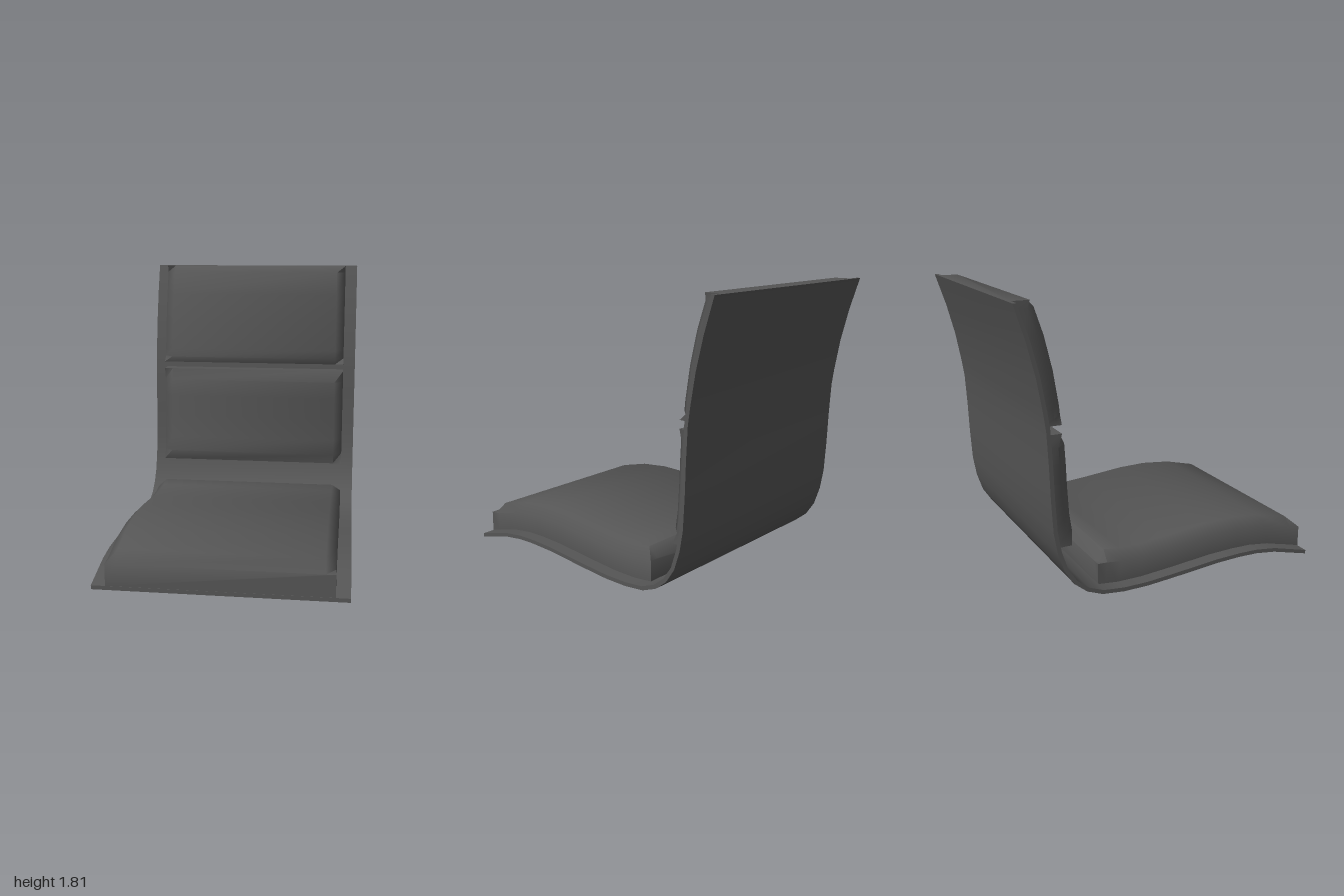
import * as THREE from 'three';
import { toCreasedNormals } from 'three/addons/utils/BufferGeometryUtils.js';

const material = new THREE.MeshStandardMaterial({ color: 0x555555 });

// Underside of the bent shell, as [z, y] from the front edge to the top edge
const SHELL = [
  [1, 0], [0.74, 0.067], [0.6, 0.085], [0.47, 0.088], [0.3, 0.082], [0, 0.055], [-0.2, 0.04],
  [-0.36, 0.04], [-0.5, 0.055], [-0.6, 0.095], [-0.68, 0.16], [-0.74, 0.25], [-0.78, 0.37],
  [-0.803, 0.5], [-0.815, 0.7], [-0.822, 0.9], [-0.833, 1.1], [-0.847, 1.2], [-0.883, 1.4],
  [-0.934, 1.6], [-1, 1.806],
];

// Seat and back in one sheet: the profile is thickened, then extruded across the width
function makeShell(width, thickness) {
  const outer = SHELL.map(([z, y]) => new THREE.Vector2(z, y));
  const inner = outer.map((p, i) => {
    const t = outer[Math.min(i + 1, outer.length - 1)].clone().sub(outer[Math.max(i - 1, 0)]).normalize();
    return new THREE.Vector2(p.x + t.y * thickness, p.y - t.x * thickness);
  });
  inner[0].x = 1; // square front and top edges
  inner[inner.length - 1].y = 1.806;
  const shape = new THREE.Shape([...outer, ...inner.reverse()]);
  const geo = new THREE.ExtrudeGeometry(shape, { depth: width, bevelEnabled: false });
  geo.rotateY(-Math.PI / 2).translate(width / 2, 0, 0);
  return toCreasedNormals(geo, 0.7);
}

// Padded cushion: rows of [base z, base y, face z, face y], with bevelled rim
function makeCushion(rows, halfWidth = 0.665, bevel = 0.06) {
  const pos = [], index = [], n = 6, last = rows.length - 1;
  rows.forEach(([bz, by, tz, ty], i) => {
    const isEnd = i === 0 || i === last;
    const k = isEnd ? 0 : bevel / Math.hypot(tz - bz, ty - by);
    const sz = tz + (bz - tz) * k, sy = ty + (by - ty) * k;
    const w = halfWidth, t = halfWidth - bevel;
    pos.push(-w, by, bz, w, by, bz, w, sy, sz, t, ty, tz, -t, ty, tz, -w, sy, sz);
    if (i === last) return;
    for (let j = 0; j < n; j++) {
      const a = i * n + j, b = i * n + (j + 1) % n;
      index.push(a, a + n, b, b, a + n, b + n);
    }
  });
  // end caps
  const e = last * n;
  for (let j = 1; j < n - 1; j++) {
    index.push(0, j, j + 1, e, e + j + 1, e + j);
  }
  const geo = new THREE.BufferGeometry();
  geo.setAttribute('position', new THREE.Float32BufferAttribute(pos, 3));
  geo.setIndex(index);
  return toCreasedNormals(geo, 0.95);
}

const CUSHIONS = {
  seatCushion: [
    [1, 0.025, 1, 0.16], [0.93, 0.045, 0.93, 0.225], [0.74, 0.09, 0.71, 0.28], [0.5, 0.11, 0.5, 0.301],
    [0.3, 0.105, 0.3, 0.297], [0, 0.08, 0, 0.268], [-0.2, 0.064, -0.18, 0.254],
    [-0.36, 0.063, -0.32, 0.254], [-0.44, 0.07, -0.425, 0.267], [-0.49, 0.075, -0.49, 0.21],
  ],
  lowerBackCushion: [
    [-0.757, 0.365, -0.657, 0.365], [-0.772, 0.44, -0.63, 0.435], [-0.782, 0.53, -0.645, 0.54],
    [-0.792, 0.7, -0.655, 0.7], [-0.799, 0.85, -0.661, 0.85], [-0.804, 0.97, -0.668, 0.97],
    [-0.81, 1.05, -0.705, 1.05],
  ],
  upperBackCushion: [
    [-0.81, 1.1, -0.705, 1.1], [-0.815, 1.14, -0.69, 1.14], [-0.825, 1.2, -0.696, 1.2],
    [-0.861, 1.4, -0.728, 1.4], [-0.911, 1.6, -0.776, 1.6], [-0.96, 1.76, -0.83, 1.76],
    [-0.978, 1.806, -0.872, 1.806],
  ],
};

export function createModel() {
  const group = new THREE.Group();
  const add = (name, geometry) => {
    const mesh = new THREE.Mesh(geometry, material);
    mesh.name = name;
    group.add(mesh);
  };
  add('bentShell', makeShell(1.5, 0.025));
  for (const [name, rows] of Object.entries(CUSHIONS)) add(name, makeCushion(rows));
  return group;
}
